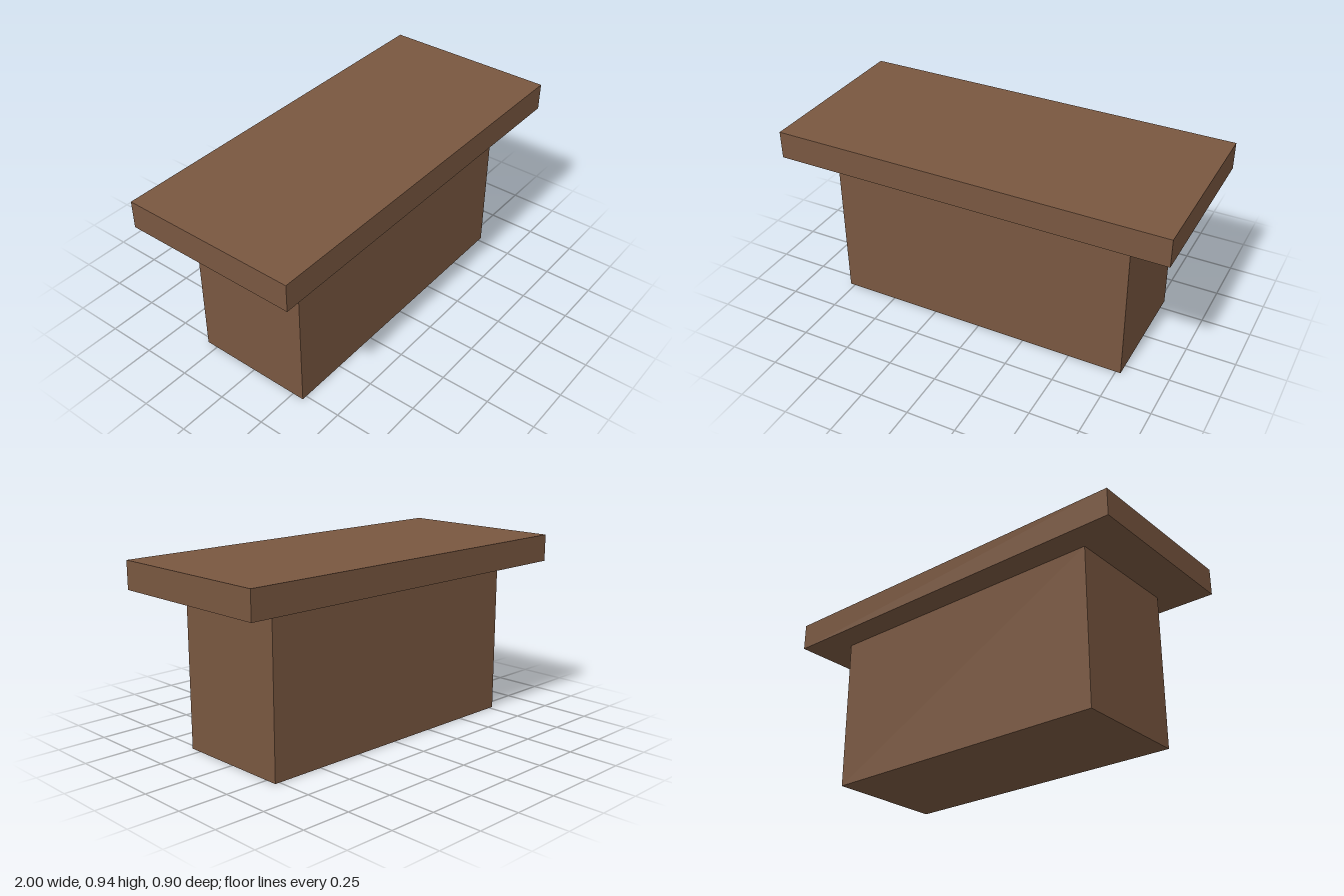
import * as THREE from 'three';

export function createModel() {
  const group = new THREE.Group();
  group.name = 'counter';
  const wood = new THREE.MeshStandardMaterial({ color: 0x795740 });

  // Box standing on height y
  const addBox = (name, width, height, depth, y) => {
    const mesh = new THREE.Mesh(new THREE.BoxGeometry(width, height, depth), wood);
    mesh.name = name;
    mesh.position.y = y + height / 2;
    group.add(mesh);
  };

  // Solid base block
  addBox('base', 1.55, 0.8, 0.62, 0);
  // Overhanging top slab
  addBox('top', 2, 0.14, 0.9, 0.8);

  return group;
}
